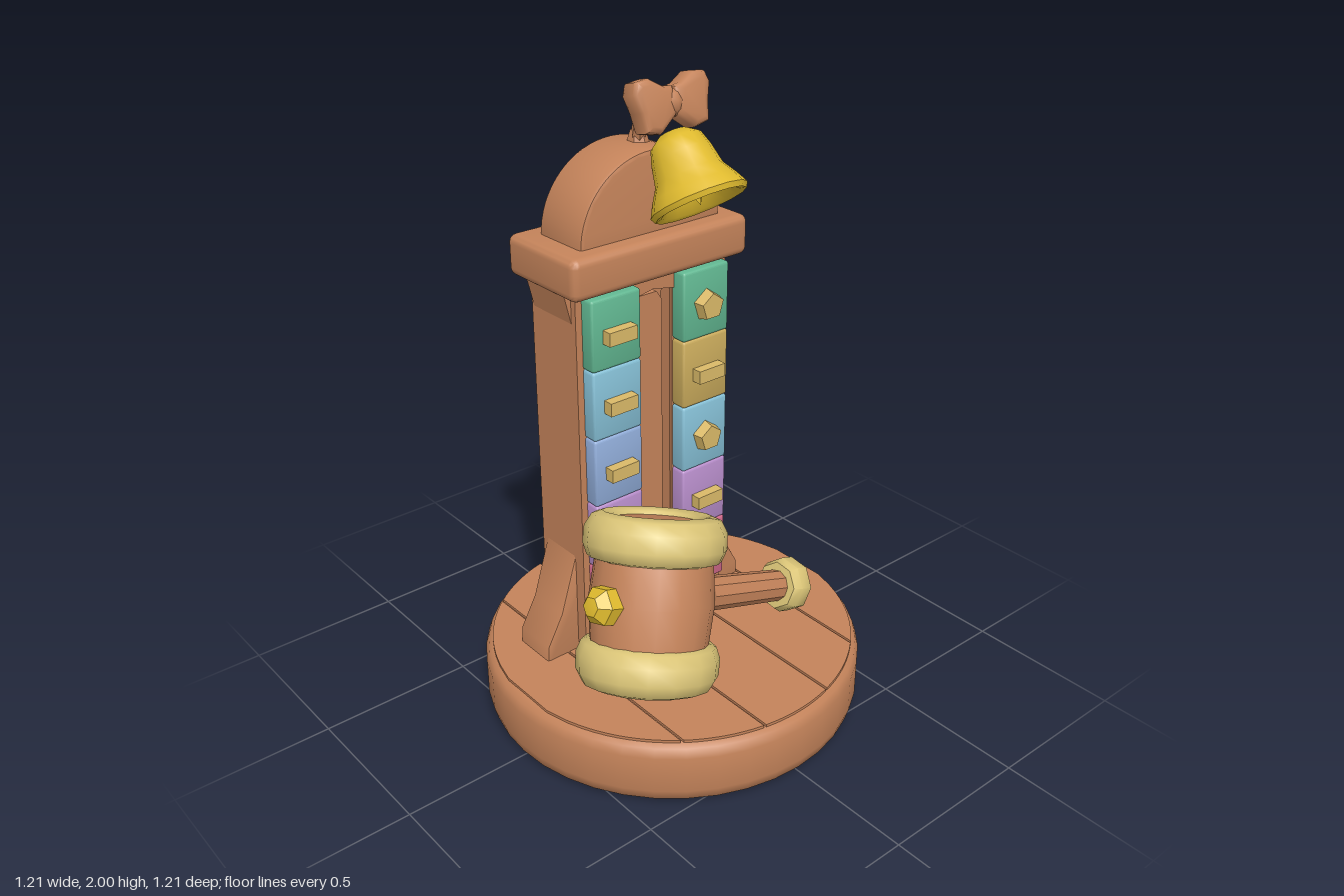
import * as THREE from 'three';
import { toCreasedNormals } from 'three/addons/utils/BufferGeometryUtils.js';
import { RoundedBoxGeometry } from 'three/addons/geometries/RoundedBoxGeometry.js';

const V2 = (x, y) => new THREE.Vector2(x, y);
const V3 = (x, y, z) => new THREE.Vector3(x, y, z);

function material(name, color) {
  const m = new THREE.MeshStandardMaterial({ color });
  m.name = name;
  return m;
}

function polygon(points) {
  return new THREE.Shape(points.map(([x, y]) => V2(x, y)));
}

function slot(x0, x1, y0, y1) {
  const mid = (x0 + x1) / 2;
  return new THREE.Path([V2(x0, y0), V2(x0, y1), V2(mid, y1 + 0.02), V2(x1, y1), V2(x1, y0)]);
}

function extrude(shape, depth, bevel = 0, curveSegments = 16) {
  return new THREE.ExtrudeGeometry(shape, {
    depth: depth - 2 * bevel, curveSegments, bevelEnabled: bevel > 0,
    bevelThickness: bevel, bevelSize: bevel, bevelOffset: -bevel, bevelSegments: 2,
  }).translate(0, 0, bevel);
}

function lathe(points, segments) {
  return new THREE.LatheGeometry(points.map(([x, y]) => V2(x, y)), segments);
}

export function createModel() {
  const model = new THREE.Group();
  model.name = 'strengthTester';

  const wood = material('wood', 0xc4835a);
  const trim = material('paleTrim', 0xdcc678);
  const brass = material('brass', 0xdfba2e);
  const peg = material('peg', 0xdab968);
  const green = material('green', 0x62b892);
  const sky = material('skyBlue', 0x86c0d6);
  const blue = material('blue', 0x90acd8);
  const purple = material('purple', 0xb88ecb);
  const pink = material('pink', 0xd56c8e);
  const gold = material('gold', 0xcaab5c);

  function add(name, geometry, mat, parent = model, crease = 0.6) {
    const mesh = new THREE.Mesh(toCreasedNormals(geometry, crease), mat);
    mesh.name = name;
    parent.add(mesh);
    return mesh;
  }

  // Round base with softened edges
  add('base', lathe([[0, 0], [0.575, 0], [0.595, 0.015], [0.605, 0.05], [0.605, 0.17],
    [0.595, 0.2], [0.575, 0.213], [0, 0.213]], 40), wood, model, 0.9);

  // Planks across the top of the base
  const cuts = [-0.575, -0.35, -0.12, 0.14, 0.37, 0.575];
  for (let i = 0; i < 5; i++) {
    const a = cuts[i] + 0.004, b = cuts[i + 1] - 0.004, pts = [];
    for (let k = 0; k <= 12; k++) {
      const x = a + (b - a) * k / 12;
      pts.push([x, Math.sqrt(0.58 ** 2 - x * x)]);
    }
    const outline = pts.concat(pts.map(([x, z]) => [x, -z]).reverse());
    add('basePlank', extrude(polygon(outline), 0.009).rotateX(-Math.PI / 2).translate(0, 0.212, 0), wood);
  }

  // Tower: slotted back, open front and a centre rail
  const cx = -0.03;
  const wall = () => polygon([[-0.31, 0.2], [0.25, 0.2], [0.25, 1.45], [-0.31, 1.45]]);
  const back = wall();
  back.holes.push(slot(-0.135, -0.1, 0.36, 1.34), slot(0.04, 0.075, 0.36, 1.34));
  add('towerBack', extrude(back, 0.16).translate(0, 0, -0.26), wood);
  const front = wall();
  front.holes.push(slot(-0.14, 0.08, 0.33, 1.36));
  add('towerFront', extrude(front, 0.05).translate(0, 0, -0.1), wood);
  add('rail', extrude(polygon([[-0.09, 0.33], [0.02, 0.33], [0.02, 1.33], [0, 1.36], [-0.07, 1.36], [-0.09, 1.33]]), 0.04)
    .translate(0, 0, -0.11), wood);

  // Side buttresses, front foot and brackets under the cap
  for (const s of [-1, 1]) {
    const foot = [[0.2, 0.2], [0.4, 0.2], [0.395, 0.27], [0.34, 0.37], [0.28, 0.56], [0.2, 0.56]];
    const outline = foot.map(([x, y]) => [cx + s * x, y]);
    add('buttress', extrude(polygon(s > 0 ? outline : outline.reverse()), 0.15, 0.008).translate(0, 0, -0.24), wood);
    const lug = [[0.25, 1.34], [0.28, 1.34], [0.305, 1.44], [0.25, 1.44]].map(([x, y]) => [cx + s * x, y]);
    add('bracket', extrude(polygon(s > 0 ? lug : lug.reverse()), 0.18).translate(0, 0, -0.25), wood);
  }
  add('frontFoot', extrude(polygon([[0.02, 0.2], [0.06, 0.2], [0.06, 0.36], [0.05, 0.36]]), 0.5)
    .rotateY(-Math.PI / 2).scale(1, 1, -1).index
    ? new THREE.BoxGeometry(0.5, 0.1, 0.03) : new THREE.BoxGeometry(0.5, 0.1, 0.03), wood)
    .position.set(cx, 0.25, -0.04);
  add('rearBracket', new THREE.CylinderGeometry(0.045, 0.01, 0.08, 4, 1).rotateY(Math.PI / 4).scale(8, 1, 1), wood)
    .position.set(cx, 1.4, -0.255);

  // Cap and arched top
  add('cap', new RoundedBoxGeometry(0.645, 0.125, 0.32, 3, 0.025), wood).position.set(cx - 0.003, 1.4925, -0.15);
  const arch = new THREE.Shape();
  arch.moveTo(0.255, -0.02);
  arch.absellipse(0, 0, 0.255, 0.245, 0, Math.PI, false);
  arch.lineTo(-0.255, -0.02);
  add('archedTop', extrude(arch, 0.195, 0.012).translate(cx, 1.55, -0.245), wood);

  // Coloured score tiles with pegs
  const columns = [
    { x: -0.2, colours: [green, sky, blue, purple, pink], round: [] },
    { x: 0.137, colours: [green, gold, sky, purple, pink], round: [0, 2] },
  ];
  for (const { x, colours, round } of columns) {
    colours.forEach((mat, i) => {
      const y = 1.31 - i * 0.219;
      add('scoreTile', new RoundedBoxGeometry(0.176, 0.219, 0.056, 2, 0.008), mat).position.set(x, y, -0.032);
      const pegShape = round.includes(i)
        ? new THREE.CylinderGeometry(0.042, 0.052, 0.04, 5).rotateX(Math.PI / 2).rotateZ(Math.PI)
        : new THREE.BoxGeometry(0.1, 0.042, 0.04);
      add('tilePeg', pegShape, peg).position.set(x, y - 0.005, 0.008);
    });
  }

  // Bell, tilted forward under its bow
  const bell = new THREE.Group();
  bell.name = 'bell';
  bell.position.set(0.01, 1.665, 0.112);
  bell.rotation.x = -0.6;
  model.add(bell);
  add('bellShell', lathe([[0, 0.06], [0.085, 0.05], [0.115, 0.005], [0.135, 0], [0.143, 0.015], [0.125, 0.05],
    [0.1, 0.09], [0.088, 0.15], [0.075, 0.19], [0.04, 0.215], [0, 0.22]], 14), brass, bell, 0.8);
  add('clapper', new THREE.ConeGeometry(0.035, 0.06, 4).rotateX(Math.PI), brass, bell).position.y = 0.03;

  // Bow and the arm that holds it
  const bow = new THREE.Group();
  bow.name = 'bow';
  bow.position.set(0.01, 1.92, -0.025);
  bow.rotation.x = -0.25;
  model.add(bow);
  for (const s of [-1, 1]) {
    const lobe = [[0, -0.03], [0.06, -0.075], [0.11, -0.065], [0.118, -0.01], [0.133, 0.04], [0.12, 0.073],
      [0.075, 0.078], [0.03, 0.052], [0, 0.048]].map(([x, y]) => [s * x, y]);
    add('bowLoop', extrude(polygon(s > 0 ? lobe : lobe.reverse()), 0.075, 0.018).translate(0, 0, -0.038), wood, bow, 1);
  }
  add('bowKnot', new THREE.SphereGeometry(0.045, 8, 6), wood, bow, 1).position.y = 0.005;
  const armPath = new THREE.CatmullRomCurve3([V3(0.01, 1.92, -0.04), V3(0, 1.9, -0.09), V3(-0.005, 1.85, -0.13), V3(0, 1.77, -0.155)]);
  add('bowArm', new THREE.TubeGeometry(armPath, 10, 0.022, 6), wood, model, 1);
  add('armFoot', new THREE.CylinderGeometry(0.022, 0.038, 0.05, 6), wood).position.set(0, 1.8, -0.15);

  // Mallet: local y runs along the head, local x along the handle
  const mallet = new THREE.Group();
  mallet.name = 'mallet';
  const up = V3(0.16, 0.46, -0.14).normalize();
  const along = V3(0.57, -0.26, -0.02);
  along.addScaledVector(up, -along.dot(up)).normalize();
  mallet.quaternion.setFromRotationMatrix(new THREE.Matrix4().makeBasis(along, up, along.clone().cross(up)));
  mallet.position.set(-0.28, 0.56, 0.24);
  model.add(mallet);

  add('malletHead', lathe([[0, -0.235], [0.16, -0.235], [0.175, -0.12], [0.186, 0], [0.175, 0.12], [0.16, 0.235], [0, 0.235]], 18),
    wood, mallet, 0.8);
  for (const s of [-1, 1]) {
    const ring = add('headBand', lathe([[0.165, 0.115], [0.198, 0.125], [0.212, 0.16], [0.21, 0.21], [0.19, 0.245],
      [0.16, 0.256], [0.135, 0.245], [0.13, 0.22]], 16), trim, mallet, 1);
    if (s < 0) ring.rotation.x = Math.PI;
  }
  const sideways = (g) => g.rotateZ(-Math.PI / 2);
  add('handle', sideways(new THREE.CylinderGeometry(0.05, 0.055, 0.5, 10)), wood, mallet).position.x = 0.36;
  add('handleCollar', sideways(new THREE.CylinderGeometry(0.05, 0.085, 0.07, 10)), wood, mallet).position.x = 0.2;
  add('handleBand', sideways(lathe([[0.04, -0.05], [0.075, -0.048], [0.088, -0.02], [0.088, 0.025], [0.07, 0.045], [0.045, 0.045]], 8)),
    trim, mallet, 0.8).position.x = 0.625;
  add('handleTip', sideways(new THREE.ConeGeometry(0.065, 0.04, 8)), wood, mallet).position.x = 0.685;
  add('headStud', sideways(lathe([[0, -0.055], [0.03, -0.05], [0.058, -0.02], [0.06, 0.03], [0, 0.03]], 6)),
    brass, mallet).position.x = -0.195;

  return model;
}
